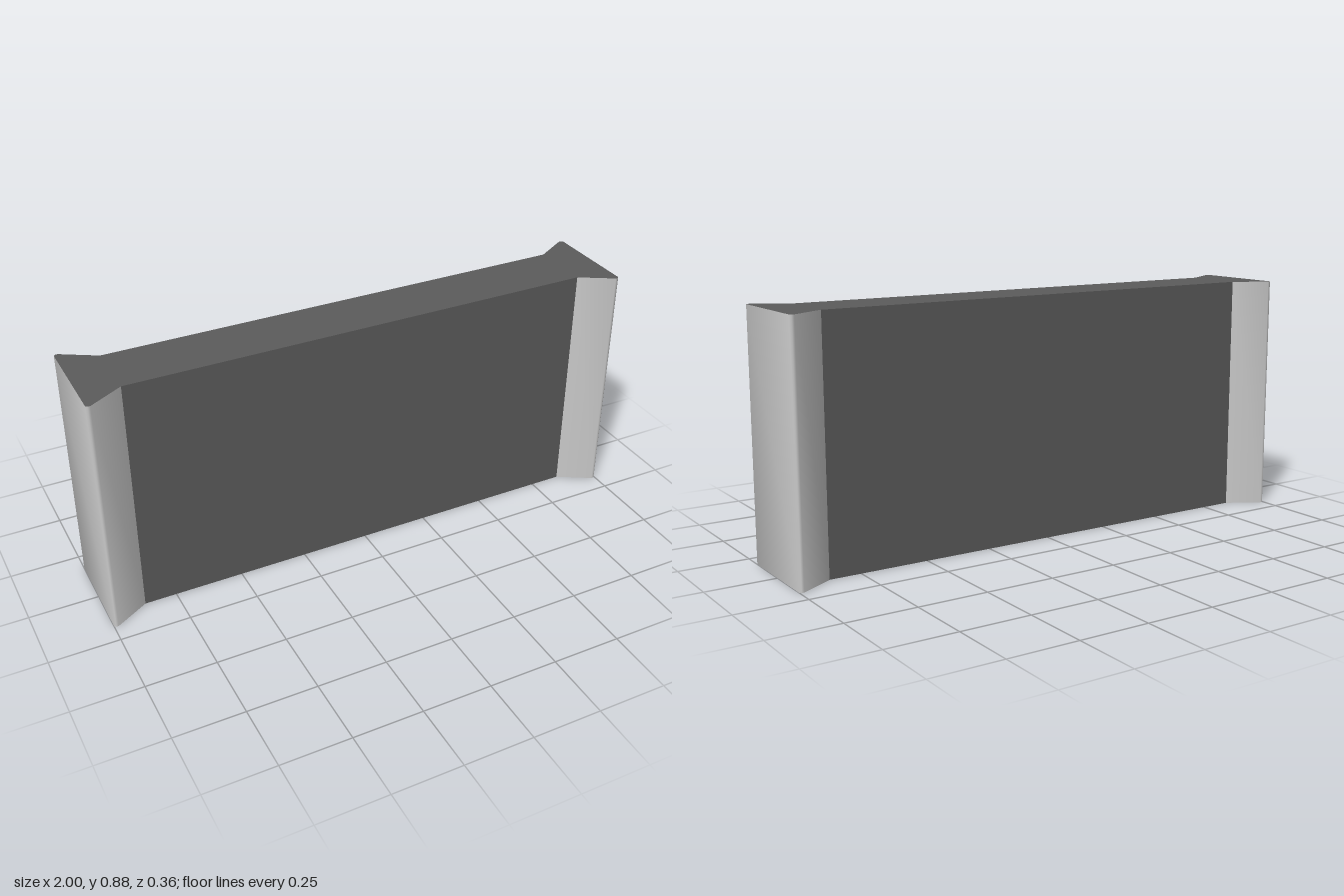
import * as THREE from 'three';
import { toCreasedNormals } from 'three/addons/utils/BufferGeometryUtils.js';

const HEIGHT = 0.885;

// One quarter of the plan outline: panel edge, flare, blunted tip, end face
const QUARTER = [[0.865, 0.11], [0.985, 0.181], [0.994, 0.181], [1, 0.175]];

function planShape() {
  const mirrored = (sx, sy) => QUARTER.map(([x, y]) => new THREE.Vector2(x * sx, y * sy));
  return new THREE.Shape([
    ...mirrored(1, -1), ...mirrored(1, 1).reverse(),
    ...mirrored(-1, 1), ...mirrored(-1, -1).reverse(),
  ]);
}

// Keep only the triangles whose centre and face normal pass the test
function pickFaces(geometry, test) {
  const p = geometry.attributes.position;
  const kept = [];
  const tri = new THREE.Triangle();
  const normal = new THREE.Vector3();
  const centre = new THREE.Vector3();
  for (let i = 0; i < p.count; i += 3) {
    tri.setFromAttributeAndIndices(p, i, i + 1, i + 2);
    if (!test(tri.getNormal(normal), tri.getMidpoint(centre))) continue;
    for (const v of [tri.a, tri.b, tri.c]) kept.push(v.x, v.y, v.z);
  }
  const result = new THREE.BufferGeometry();
  result.setAttribute('position', new THREE.Float32BufferAttribute(kept, 3));
  return toCreasedNormals(result, 0.8);
}

export function createModel() {
  const group = new THREE.Group();
  group.name = 'flaredPanel';

  const solid = new THREE.ExtrudeGeometry(planShape(), { depth: HEIGHT, bevelEnabled: false });
  solid.rotateX(-Math.PI / 2);

  const isBody = (n, c) => Math.abs(n.y) > 0.9 || Math.abs(c.x) < 0.8;
  const add = (name, color, test) => {
    const mesh = new THREE.Mesh(pickFaces(solid, test), new THREE.MeshStandardMaterial({ color }));
    mesh.name = name;
    group.add(mesh);
  };

  // Dark broad faces with top and bottom
  add('panelBody', 0x5c5c5c, isBody);

  // Light flared sides and end faces
  add('leftEnd', 0xcccccc, (n, c) => !isBody(n, c) && c.x > 0);
  add('rightEnd', 0xcccccc, (n, c) => !isBody(n, c) && c.x < 0);

  return group;
}
